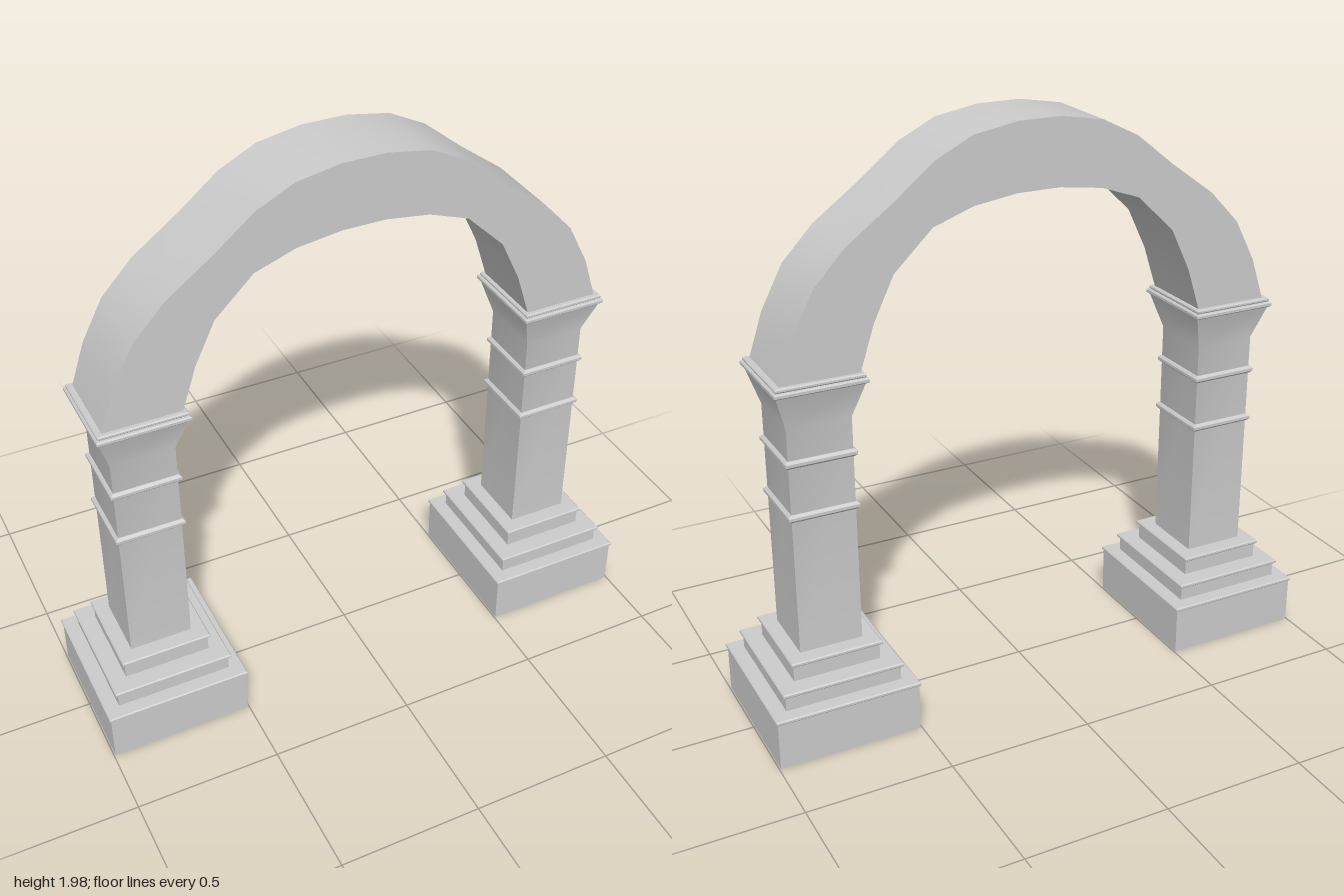
import * as THREE from 'three';
import { toCreasedNormals } from 'three/addons/utils/BufferGeometryUtils.js';

const material = new THREE.MeshStandardMaterial({ color: 0xcccccc });

// Stack of rectangular sections [y, half width, half depth], closed at both ends
function stack(name, sections) {
  const pos = [], index = [];
  for (const [y, w, d] of sections) pos.push(-w, y, d, w, y, d, w, y, -d, -w, y, -d);
  const last = (sections.length - 1) * 4;
  for (let i = 0; i < last; i += 4) {
    for (let k = 0; k < 4; k++) {
      const a = i + k, b = i + (k + 1) % 4;
      index.push(a, b, b + 4, a, b + 4, a + 4);
    }
  }
  index.push(0, 2, 1, 0, 3, 2, last, last + 1, last + 2, last, last + 2, last + 3);
  const geo = new THREE.BufferGeometry();
  geo.setAttribute('position', new THREE.Float32BufferAttribute(pos, 3));
  geo.setIndex(index);
  const mesh = new THREE.Mesh(toCreasedNormals(geo.toNonIndexed(), 0.5), material);
  mesh.name = name;
  return mesh;
}

// Thin moulding with softened edges
function moulding(name, y, h, w, d, r = 0.004) {
  return stack(name, [
    [y, w - r, d - r], [y + r, w, d], [y + h - r, w, d], [y + h, w - r, d - r],
  ]);
}

function createPillar(name, x) {
  const pillar = new THREE.Group();
  pillar.name = name;
  pillar.position.x = x;
  pillar.add(
    // stepped foot
    stack('plinth', [[0, 0.245, 0.26], [0.17, 0.245, 0.26]]),
    moulding('plinthLip', 0.165, 0.015, 0.25, 0.265),
    stack('middleStep', [[0.18, 0.2, 0.215], [0.232, 0.2, 0.215]]),
    moulding('middleStepLip', 0.23, 0.015, 0.209, 0.225),
    stack('upperStep', [[0.245, 0.15, 0.16], [0.302, 0.15, 0.16]]),
    moulding('upperStepLip', 0.3, 0.015, 0.158, 0.17),
    // shaft flaring out into the capital
    stack('shaft', [[0.315, 0.108, 0.114], [1.11, 0.108, 0.114], [1.232, 0.146, 0.153]]),
    moulding('lowerBand', 0.79, 0.026, 0.119, 0.125, 0.008),
    moulding('upperBand', 0.975, 0.026, 0.119, 0.125, 0.008),
    moulding('capitalSlab', 1.23, 0.017, 0.153, 0.163),
    moulding('capitalTop', 1.247, 0.014, 0.147, 0.155),
  );
  return pillar;
}

// Faceted arch drawn as half outlines, mirrored, then extruded
function createArch() {
  const outer = [[0.881, 1.25], [0.829, 1.406], [0.754, 1.55], [0.647, 1.663],
    [0.487, 1.78], [0.353, 1.888], [0.225, 1.952], [0.075, 1.978]];
  const inner = [[0.619, 1.25], [0.567, 1.41], [0.497, 1.556],
    [0.364, 1.684], [0.225, 1.733], [0.075, 1.754]];
  const mirror = (pts) => pts.map(([x, y]) => [-x, y]).reverse();
  const outline = [...outer, ...mirror(outer), ...mirror(inner).reverse(), ...[...inner].reverse()];
  const shape = new THREE.Shape(outline.map(([x, y]) => new THREE.Vector2(x, y)));
  const geo = new THREE.ExtrudeGeometry(shape, { depth: 0.278, bevelEnabled: false });
  geo.translate(0, 0, -0.139);
  const mesh = new THREE.Mesh(toCreasedNormals(geo, 0.6), material);
  mesh.name = 'arch';
  return mesh;
}

export function createModel() {
  const model = new THREE.Group();
  model.name = 'archway';
  model.add(createPillar('leftPillar', 0.75), createPillar('rightPillar', -0.75), createArch());
  return model;
}
